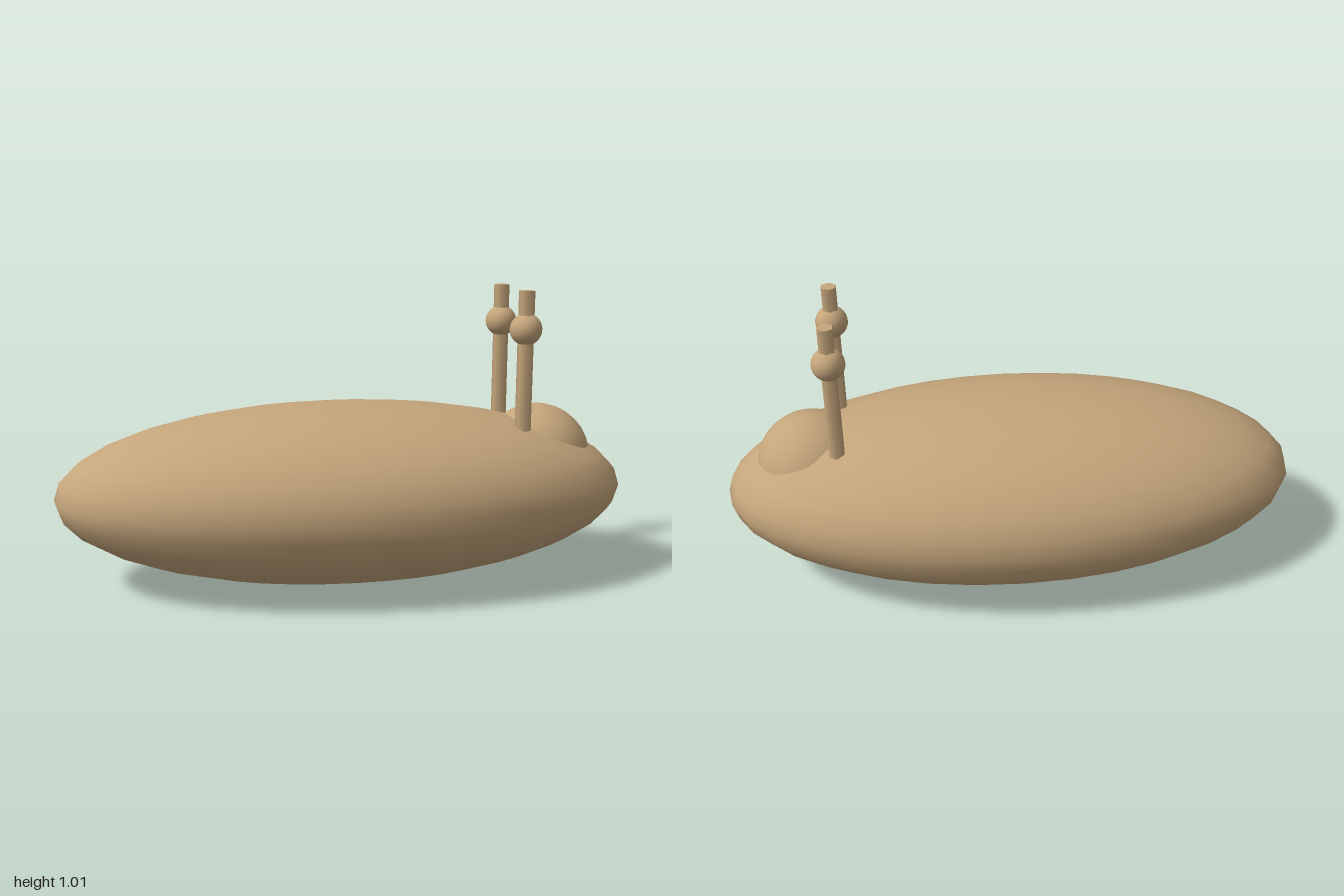
import * as THREE from 'three';

const material = new THREE.MeshStandardMaterial({ color: 0xc4a57b });

function addPart(parent, name, geometry, x, y, z) {
  const mesh = new THREE.Mesh(geometry, material);
  mesh.name = name;
  mesh.position.set(x, y, z);
  parent.add(mesh);
  return mesh;
}

export function createModel() {
  const model = new THREE.Group();
  model.name = 'slug';

  // Long flattened body
  const body = addPart(model, 'body', new THREE.SphereGeometry(1, 32, 16), 0, 0.314, 0);
  body.scale.set(1, 0.31, 0.48);

  // Head dome, mostly sunk into the body
  addPart(model, 'head', new THREE.SphereGeometry(0.19, 32, 16), 0.7, 0.41, 0);

  // Pair of six-sided eye stalks, each passing through its eyeball
  const stalkGeometry = new THREE.CylinderGeometry(0.028, 0.028, 0.48, 6);
  const eyeGeometry = new THREE.SphereGeometry(0.055, 24, 16);
  for (const [side, z] of [['left', 0.145], ['right', -0.145]]) {
    const eyeStalk = new THREE.Group();
    eyeStalk.name = side + 'EyeStalk';
    eyeStalk.position.set(0.6, 0, z);
    addPart(eyeStalk, 'stalk', stalkGeometry, 0, 0.775, 0);
    addPart(eyeStalk, 'eye', eyeGeometry, 0, 0.884, 0);
    model.add(eyeStalk);
  }

  return model;
}
